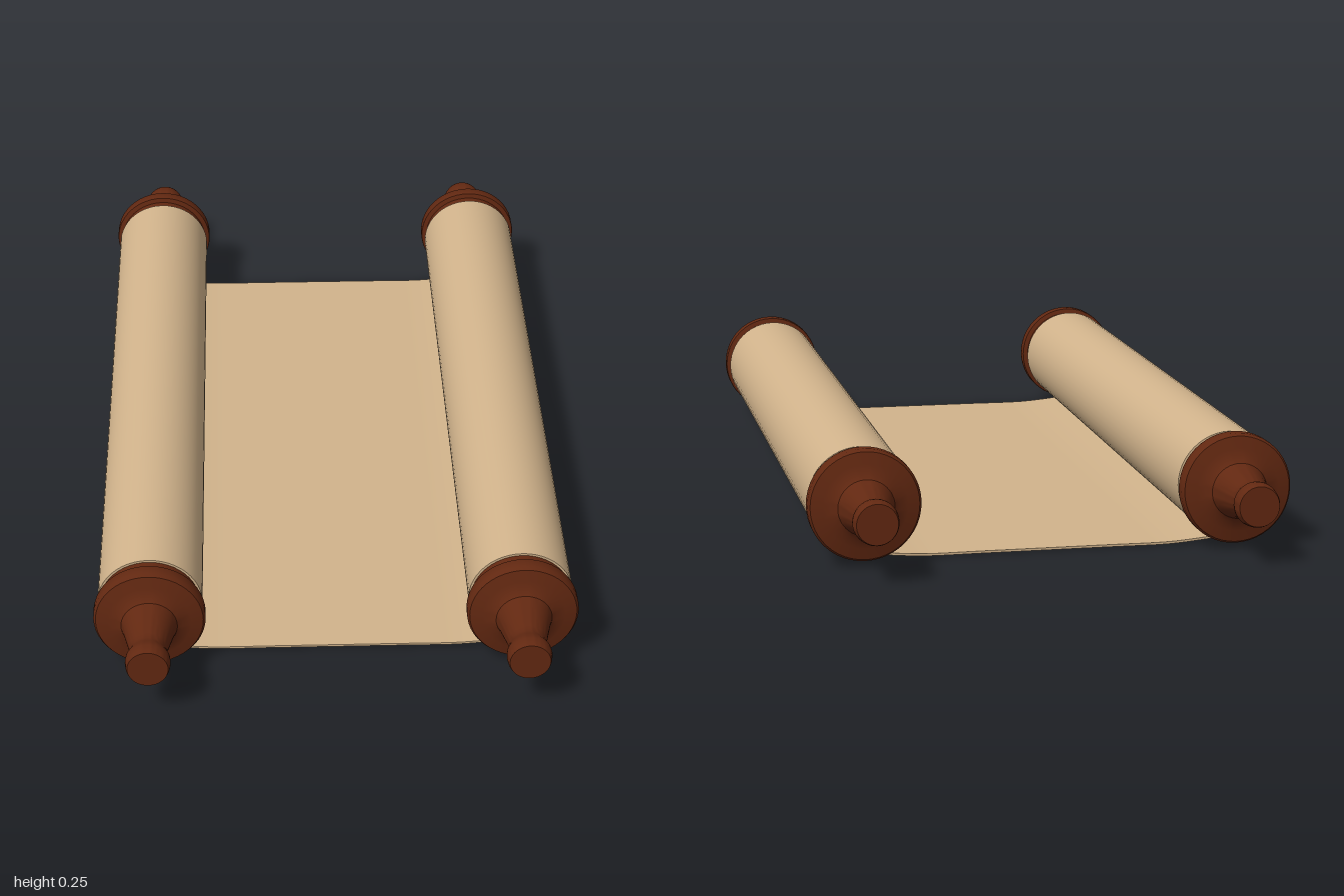
import * as THREE from 'three';
import { toCreasedNormals } from 'three/addons/utils/BufferGeometryUtils.js';

const ROLLER_X = 0.4, AXIS_Y = 0.13, HALF_PAPER = 0.772;

// Lathe whose axis runs along z; points are [radius, z]
function turned(points, material, name) {
  const profile = points.map(([r, z]) => new THREE.Vector2(r, z));
  const lathe = new THREE.LatheGeometry(profile, 48);
  lathe.rotateX(Math.PI / 2);
  const mesh = new THREE.Mesh(toCreasedNormals(lathe, 0.6), material);
  mesh.name = name;
  return mesh;
}

export function createModel() {
  const paper = new THREE.MeshStandardMaterial({ color: 0xd2b48c });
  paper.name = 'parchment';
  const wood = new THREE.MeshStandardMaterial({ color: 0x622811 });
  wood.name = 'dark wood';

  const model = new THREE.Group();
  model.name = 'scroll';

  // Collar, flange, flared neck and blunt knob of one rod end
  const handleProfile = [
    [0, 0.76], [0.108, 0.76], [0.108, 0.797], [0.119, 0.8], [0.12, 0.805],
    [0.12, 0.826], [0.115, 0.834], [0.09, 0.84], [0.07, 0.845],
    [0.06, 0.853], [0.055, 0.87], [0.048, 0.9], [0.041, 0.93], [0.039, 0.943],
    [0.042, 0.955], [0.047, 0.968], [0.048, 0.978], [0.046, 0.992],
    [0.043, 1], [0, 1],
  ];

  for (const side of [-1, 1]) {
    const roller = new THREE.Group();
    roller.name = side > 0 ? 'leftRoller' : 'rightRoller';
    roller.position.set(side * ROLLER_X, AXIS_Y, 0);

    roller.add(turned([
      [0, -HALF_PAPER], [0.113, -HALF_PAPER], [0.113, HALF_PAPER], [0, HALF_PAPER],
    ], paper, 'parchmentRoll'));

    for (const end of [1, -1]) {
      const handle = turned(handleProfile, wood, end > 0 ? 'frontHandle' : 'backHandle');
      if (end < 0) handle.rotation.y = Math.PI;
      roller.add(handle);
    }
    model.add(roller);
  }

  // Thin open sheet, sagging to the ground between the rollers
  const upper = new THREE.CatmullRomCurve3([
    [-0.4, 0.018], [-0.36, 0.013], [-0.31, 0.008], [-0.26, 0.005], [-0.13, 0.005],
    [0.13, 0.005], [0.26, 0.005], [0.31, 0.008], [0.36, 0.013], [0.4, 0.018],
  ].map(([x, y]) => new THREE.Vector3(x, y, 0))).getPoints(48);
  const outline = new THREE.Shape([
    ...upper.map(p => new THREE.Vector2(p.x, p.y - 0.005)),
    ...upper.reverse().map(p => new THREE.Vector2(p.x, p.y)),
  ]);
  const sheetGeometry = new THREE.ExtrudeGeometry(outline, {
    depth: 2 * HALF_PAPER, bevelEnabled: false,
  });
  sheetGeometry.translate(0, 0, -HALF_PAPER);
  const sheet = new THREE.Mesh(toCreasedNormals(sheetGeometry, 0.6), paper);
  sheet.name = 'openSheet';
  model.add(sheet);

  return model;
}
